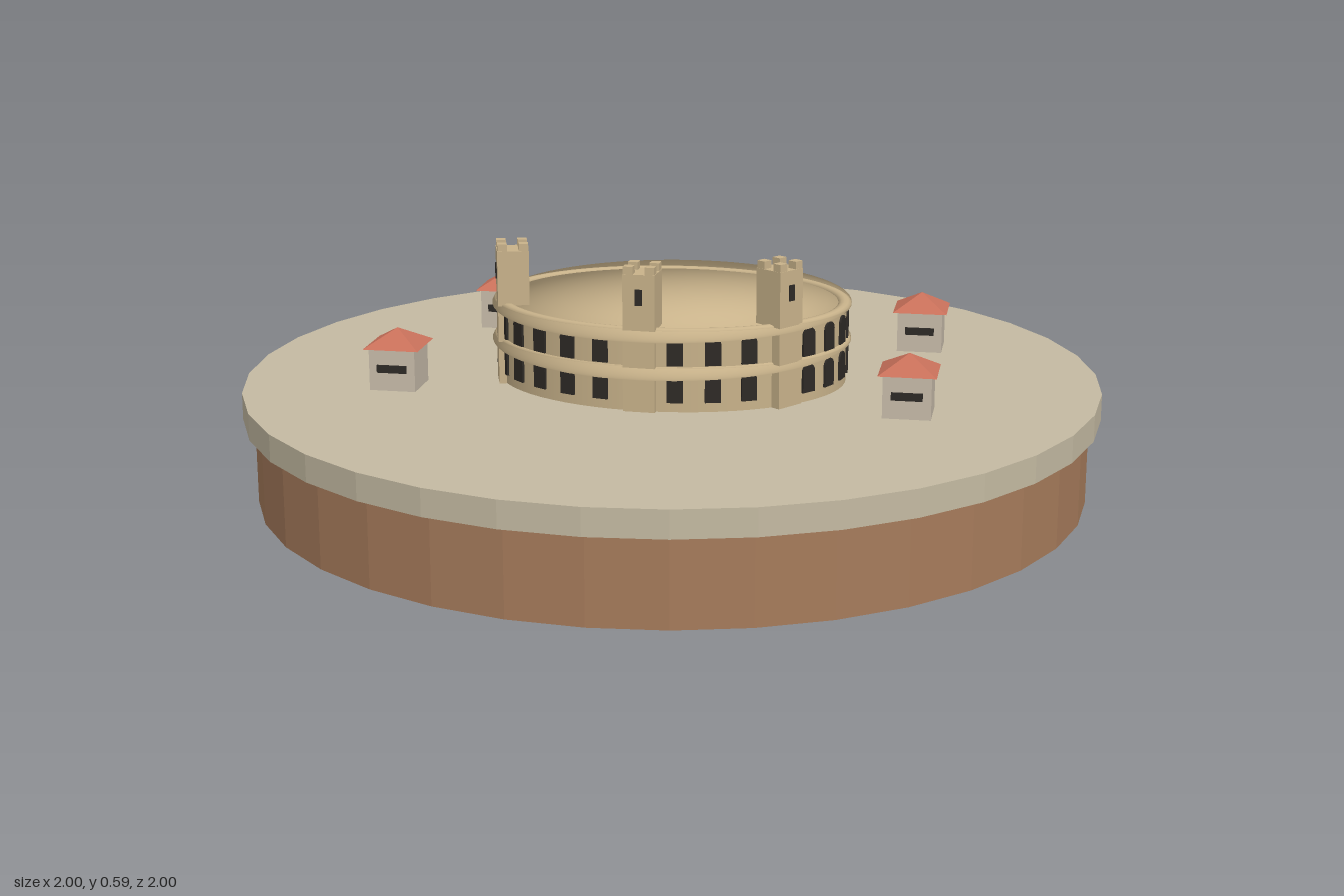
import * as THREE from 'three';

const mat = (name, color, opts = {}) => {
  const m = new THREE.MeshStandardMaterial({ color, ...opts });
  m.name = name;
  return m;
};

export function createModel() {
  const earth = mat('earth', 0xa67b5b, { flatShading: true });
  const ground = mat('ground', 0xc4baa2, { flatShading: true });
  const stone = mat('stone', 0xc8b28a);
  const dark = mat('darkOpening', 0x2e2a26, { side: THREE.DoubleSide });
  const plaster = mat('plaster', 0xc8bcaa);
  const tile = mat('roofTile', 0xc8705a, { flatShading: true });

  const TURN = -0.3; // the town is turned a little on its base
  const A = 0.41, B = 0.322; // half axes of the arena wall
  const GROUND = 0.262;
  const root = new THREE.Group();
  root.name = 'arenaTown';

  const add = (parent, name, geo, material, x = 0, y = 0, z = 0, ry = 0) => {
    const m = new THREE.Mesh(geo, material);
    m.name = name;
    m.position.set(x, y, z);
    m.rotation.y = ry;
    parent.add(m);
    return m;
  };
  const group = (parent, name, x = 0, y = 0, z = 0, ry = 0) => {
    const g = new THREE.Group();
    g.name = name;
    g.position.set(x, y, z);
    g.rotation.y = ry;
    parent.add(g);
    return g;
  };

  // Round base: earth below, paved ground on top
  add(root, 'earthBase', new THREE.CylinderGeometry(0.973, 0.973, 0.2, 36), earth, 0, 0.1, 0, TURN);
  add(root, 'groundSlab', new THREE.CylinderGeometry(1, 1, 0.062, 36), ground, 0, 0.231, 0, TURN);

  // Oval arena wall
  const arena = group(root, 'arena', 0, 0, 0, TURN);
  const wall = new THREE.CylinderGeometry(1, 1, 0.18, 64, 1, true);
  wall.scale(A, 1, B);
  add(arena, 'arenaWall', wall, stone, 0, GROUND + 0.09, 0);

  // Each storey ends in a thin round plate with an oval ridge. Only the
  // positions are flattened, so the soft rounded normals remain.
  const flatten = (geo, sx, sy, sz) => {
    geo.attributes.position.applyMatrix4(new THREE.Matrix4().makeScale(sx, sy, sz));
    return geo;
  };
  for (const y of [0.36, 0.445]) {
    add(arena, 'storeyPlate', flatten(new THREE.SphereGeometry(0.42, 64, 24), 1, 0.012, 1), stone, 0, y, 0);
    const ridge = new THREE.TorusGeometry(0.405, 0.016, 12, 64).rotateX(Math.PI / 2);
    add(arena, 'ovalRidge', flatten(ridge, 1, 0.5, 0.775), stone, 0, y, 0);
  }

  // Two rows of dark arches, leaving the back of the wall plain
  const w = 0.018;
  const arch = new THREE.Shape();
  arch.moveTo(-w, 0);
  arch.lineTo(w, 0);
  arch.lineTo(w, 0.048);
  arch.absarc(0, 0.048, w, 0, Math.PI, false);
  arch.lineTo(-w, 0);
  const archGeo = new THREE.ExtrudeGeometry(arch, { depth: 0.006, bevelEnabled: false, curveSegments: 8 });
  for (let k = 0; k <= 20; k++) {
    const t = THREE.MathUtils.degToRad(-27 + 12 * k);
    const c = Math.cos(t), s = Math.sin(t);
    for (const y of [0.284, 0.369]) {
      add(arena, 'arch', archGeo, dark, A * c * 0.996, y, B * s * 0.996, Math.atan2(c / A, s / B));
    }
  }

  // Three square towers facing outwards, with battlements and a slit
  const T = 0.073;
  const bodyH = 0.575 - GROUND;
  for (const [x, z] of [[-0.372, 0], [-0.1, 0.278], [0.208, 0.278]]) {
    const tower = group(root, 'tower', x, GROUND, z, Math.atan2(x, z));
    add(tower, 'towerBody', new THREE.BoxGeometry(T, bodyH, T), stone, 0, bodyH / 2, 0);
    for (const sx of [-1, 1]) {
      for (const sz of [-1, 1]) {
        add(tower, 'merlon', new THREE.BoxGeometry(0.022, 0.018, 0.022), stone,
          sx * 0.0245, bodyH + 0.008, sz * 0.0245);
      }
    }
    add(tower, 'towerSlit', new THREE.BoxGeometry(0.016, 0.036, 0.006), dark, 0, 0.262, T / 2);
  }

  // Four small houses with tiled pyramid roofs
  const H = 0.108;
  for (const [x, z] of [[-0.64, 0.02], [0.64, -0.18], [-0.36, -0.54], [0.482, 0.39]]) {
    const house = group(root, 'house', x, GROUND, z, TURN);
    add(house, 'houseWalls', new THREE.BoxGeometry(H, 0.1, H), plaster, 0, 0.05, 0);
    const roof = new THREE.ConeGeometry(0.092, 0.04, 4).rotateY(Math.PI / 4);
    add(house, 'houseRoof', roof, tile, 0, 0.118, 0);
    add(house, 'houseWindow', new THREE.BoxGeometry(0.07, 0.018, 0.008), dark, 0, 0.052, H / 2);
  }

  return root;
}
